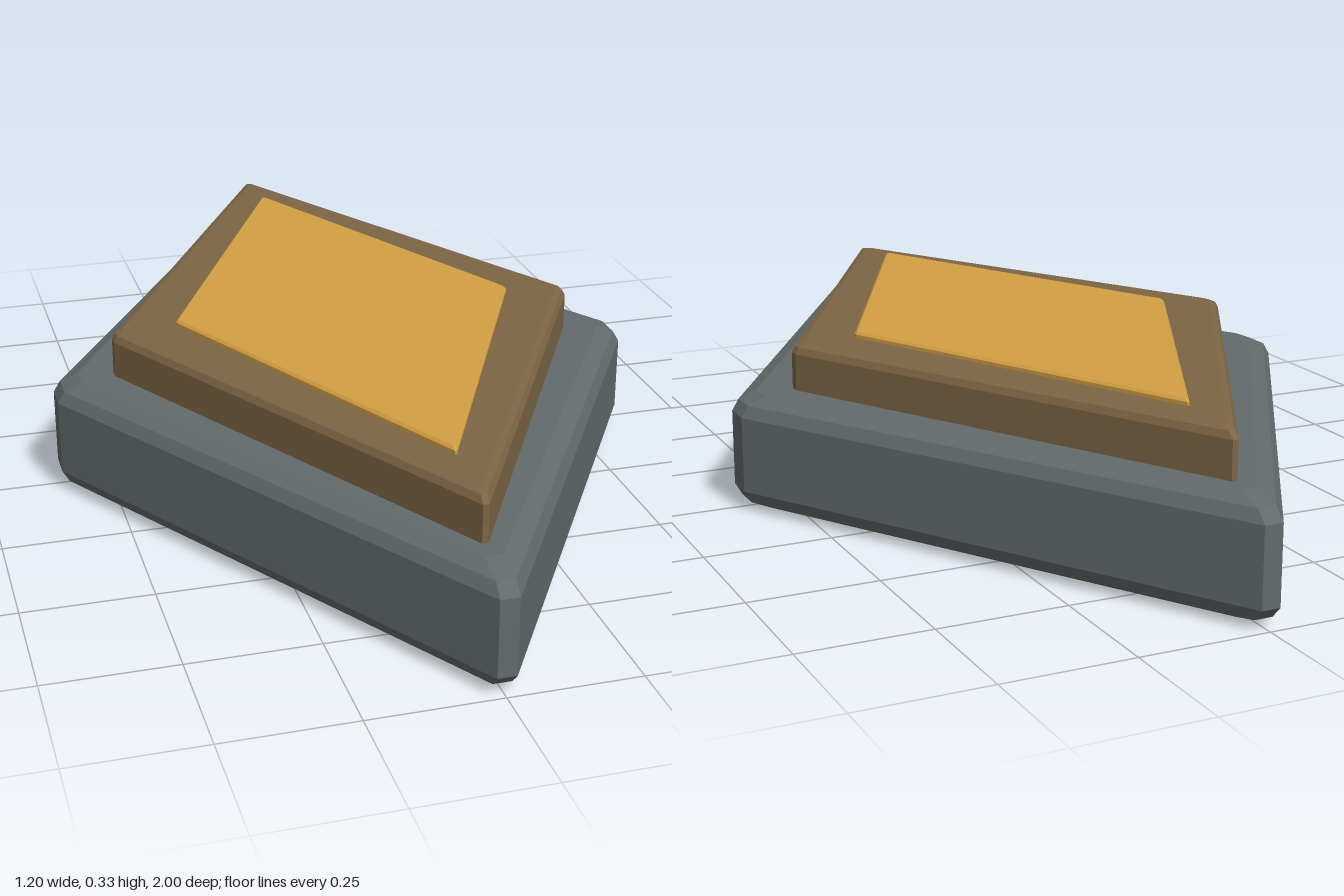
import * as THREE from 'three';

const slate = new THREE.MeshStandardMaterial({ color: 0x636a6c });
slate.name = 'slate grey';
const bronze = new THREE.MeshStandardMaterial({ color: 0x7d6545 });
bronze.name = 'bronze brown';
const gold = new THREE.MeshStandardMaterial({ color: 0xd3a043 });
gold.name = 'gold';

// Rhombus outline with half widths w and l, its four tips cut blunt
function diamond(w, l, blunt) {
  const a = w * (1 + blunt), b = l * (1 + blunt);
  const zSide = b * (1 - w / a), xTip = a * (1 - l / b);
  return [
    [w, -zSide], [w, zSide], [xTip, l], [-xTip, l],
    [-w, zSide], [-w, -zSide], [-xTip, -l], [xTip, -l],
  ];
}

// Stack scaled copies of an outline; each layer is [height, scale]
function slab(name, outline, layers, material) {
  const rings = layers.map(([y, s]) => outline.map(([x, z]) => [x * s, y, z * s]));
  const bottom = rings[0], top = rings[rings.length - 1];
  const n = outline.length;
  const pos = [];
  const tri = (...points) => points.forEach((p) => pos.push(...p));
  for (let i = 0; i < n; i++) {
    const j = (i + 1) % n;
    for (let k = 0; k < rings.length - 1; k++) {
      const lo = rings[k], hi = rings[k + 1];
      tri(lo[i], hi[i], lo[j]);
      tri(hi[i], hi[j], lo[j]);
    }
    tri([0, layers[0][0], 0], bottom[i], bottom[j]);
    tri([0, layers[layers.length - 1][0], 0], top[j], top[i]);
  }
  const geometry = new THREE.BufferGeometry();
  geometry.setAttribute('position', new THREE.Float32BufferAttribute(pos, 3));
  geometry.computeVertexNormals();
  const mesh = new THREE.Mesh(geometry, material);
  mesh.name = name;
  return mesh;
}

export function createModel() {
  const group = new THREE.Group();
  group.name = 'diamondPlaque';

  // Heavy base, bevelled above and below
  group.add(slab('base', diamond(0.6, 1, 0.03), [
    [0, 0.917], [0.016, 0.977], [0.04, 1], [0.19, 1], [0.213, 0.977], [0.227, 0.917],
  ], slate));

  // Raised step with a softened upper edge
  group.add(slab('step', diamond(0.48, 0.873, 0.012), [
    [0.22, 1], [0.3, 1], [0.313, 0.985], [0.318, 0.955],
  ], bronze));

  // Thin inlay on top
  group.add(slab('inlay', diamond(0.35, 0.713, 0.006), [
    [0.315, 1], [0.325, 1], [0.33, 0.985],
  ], gold));

  return group;
}
